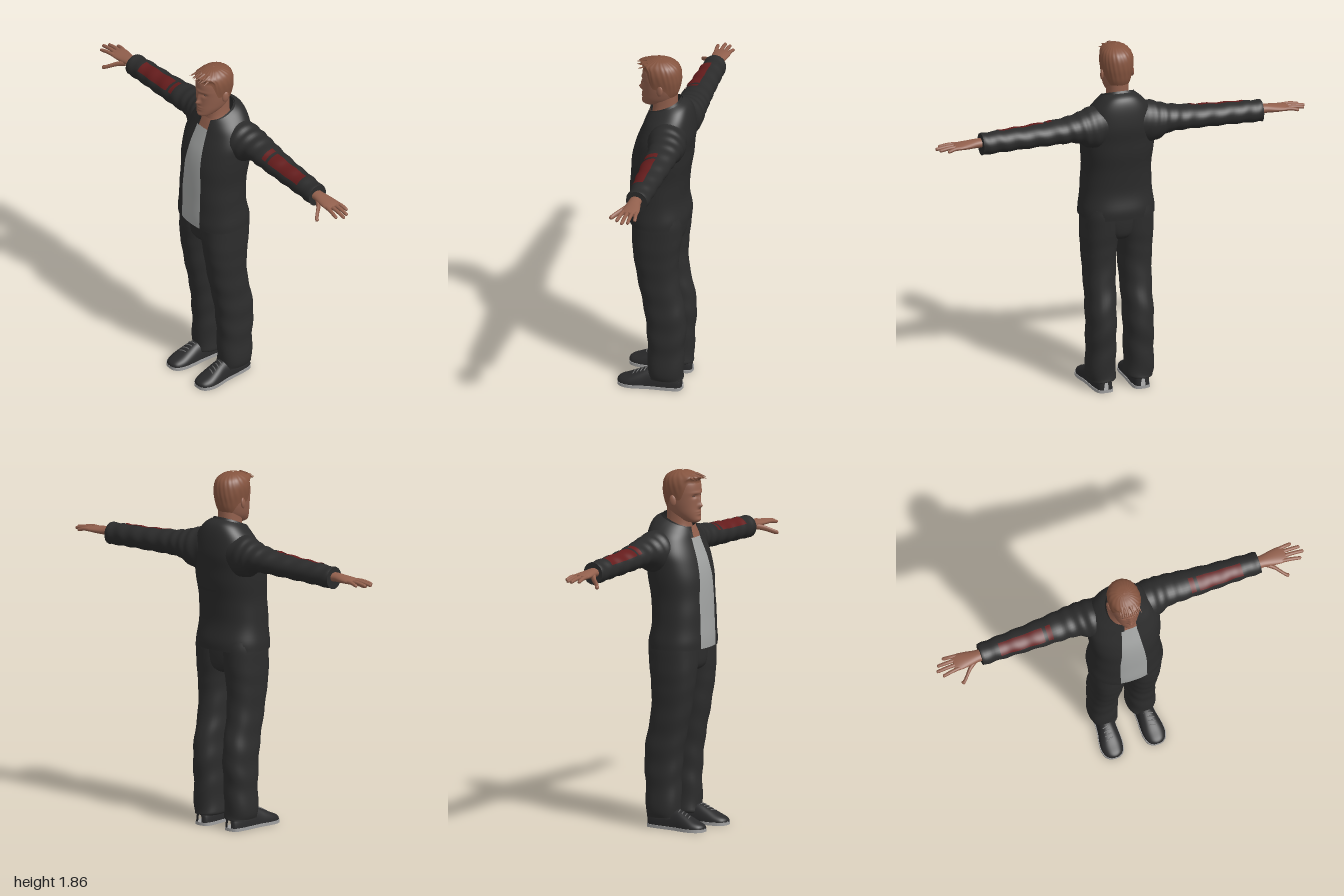
import * as THREE from 'three';

const TAU = Math.PI * 2;
const { lerp, smoothstep } = THREE.MathUtils;
const mat = (name, color, side = THREE.FrontSide) => {
  const m = new THREE.MeshStandardMaterial({ color, side });
  m.name = name;
  return m;
};

// Catmull-Rom through rows of numbers, t from 0 to 1
function sample(rows, t) {
  const f = Math.min(Math.max(t, 0), 1) * (rows.length - 1);
  const i = Math.min(Math.floor(f), rows.length - 2), k = f - i;
  const a = rows[Math.max(i - 1, 0)], b = rows[i], c = rows[i + 1], d = rows[Math.min(i + 2, rows.length - 1)];
  return b.map((p, j) => {
    const v0 = (c[j] - a[j]) / 2, v1 = (d[j] - p) / 2, q = c[j];
    return (2 * p - 2 * q + v0 + v1) * k ** 3 + (-3 * p + 3 * q - 2 * v0 - v1) * k * k + v0 * k + p;
  });
}
// t at which the first column reaches a value
function tAt(rows, y) {
  let i = 0;
  while (i < rows.length - 2 && rows[i + 1][0] < y) i++;
  return (i + (y - rows[i][0]) / (rows[i + 1][0] - rows[i][0])) / (rows.length - 1);
}
// Grid surface from fn(u, v) -> [x, y, z]; closed wraps u, caps close both ends
function surface(fn, nu, nv, closed = true, caps = false) {
  const pos = [], idx = [], cols = closed ? nu : nu + 1;
  for (let j = 0; j <= nv; j++) for (let i = 0; i < cols; i++) pos.push(...fn(i / nu, j / nv));
  for (let j = 0; j < nv; j++) for (let i = 0; i < nu; i++) {
    const a = j * cols + i, b = j * cols + (i + 1) % cols;
    idx.push(a, b, b + cols, a, b + cols, a + cols);
  }
  if (caps) for (const v of [0, 1]) {
    const start = pos.length / 3, mid = [0, 0, 0];
    for (let i = 0; i < nu; i++) {
      const p = fn(i / nu, v);
      pos.push(...p);
      p.forEach((q, k) => { mid[k] += q / nu; });
    }
    pos.push(...mid);
    for (let i = 0; i < nu; i++) {
      const a = start + i, b = start + (i + 1) % nu;
      idx.push(start + nu, v ? a : b, v ? b : a);
    }
  }
  const g = new THREE.BufferGeometry();
  g.setAttribute('position', new THREE.Float32BufferAttribute(pos, 3));
  g.setIndex(idx);
  g.computeVertexNormals();
  return g;
}
const pw = (s, n) => Math.sign(s) * Math.abs(s) ** (2 / n);
// Upright body section; rows: y, half width, z front, z back, tilt, x centre
function body(rows, th, t, o = 0, n = 2.3) {
  const [y, w, zf, zb, tilt = 0, cx = 0] = sample(rows, t);
  const z = (zf + zb) / 2 + ((zf - zb) / 2 + o) * pw(Math.cos(th), n);
  return [cx + Math.max(w + o, 0.0005) * pw(Math.sin(th), n), y - tilt * z, z];
}
// Sideways limb section; rows: x, y, y radius, z, z radius
function limb(rows, a, t, o = 0) {
  const [x, y, ry, z, rz] = sample(rows, t);
  return [x, y - (ry + o) * Math.sin(a), z + (rz + o) * Math.cos(a)];
}
function mirror(geo) {
  const g = geo.clone().scale(-1, 1, 1), ix = g.index.array;
  for (let i = 0; i < ix.length; i += 3) [ix[i], ix[i + 1]] = [ix[i + 1], ix[i]];
  return g;
}

const TORSO = [
  [0.945, 0.2, 0.148, -0.163, 0], [1.0, 0.197, 0.15, -0.163, 0], [1.1, 0.185, 0.146, -0.148, 0],
  [1.2, 0.182, 0.143, -0.158, 0], [1.3, 0.188, 0.135, -0.172, 0], [1.38, 0.194, 0.12, -0.18, 0],
  [1.45, 0.19, 0.097, -0.187, 0.05], [1.52, 0.162, 0.073, -0.18, 0.15], [1.565, 0.12, 0.06, -0.158, 0.28],
  [1.59, 0.09, 0.052, -0.12, 0.35]];
const COLLAR = [[1.54, 0.104, 0.068, -0.135, 0.3], [1.57, 0.09, 0.057, -0.12, 0.38], [1.595, 0.08, 0.05, -0.105, 0.42]];
const ARM = [
  [0.08, 1.46, 0.115, -0.075, 0.095], [0.17, 1.45, 0.107, -0.083, 0.1], [0.25, 1.459, 0.074, -0.095, 0.085],
  [0.35, 1.452, 0.063, -0.094, 0.078], [0.5, 1.443, 0.058, -0.091, 0.069], [0.65, 1.438, 0.057, -0.09, 0.062],
  [0.76, 1.433, 0.057, -0.088, 0.058]];
const PALM = [
  [0.73, 1.438, 0.026, -0.084, 0.033], [0.78, 1.44, 0.023, -0.084, 0.033], [0.83, 1.438, 0.02, -0.086, 0.041],
  [0.875, 1.437, 0.016, -0.087, 0.046], [0.905, 1.436, 0.011, -0.087, 0.042]];
const LEG = [
  [0.055, 0.03, 0.168, 0.025, -0.15], [0.08, 0.028, 0.178, 0.03, -0.155], [0.2, 0.027, 0.178, 0.03, -0.157],
  [0.3, 0.026, 0.177, 0.035, -0.165], [0.4, 0.024, 0.177, 0.045, -0.167], [0.5, 0.021, 0.176, 0.062, -0.15],
  [0.6, 0.016, 0.178, 0.083, -0.13], [0.7, 0.012, 0.182, 0.1, -0.125], [0.78, 0.006, 0.187, 0.112, -0.13],
  [0.86, -0.01, 0.19, 0.118, -0.14], [0.95, -0.02, 0.19, 0.12, -0.148], [1.0, -0.02, 0.185, 0.12, -0.145],
].map(([y, a, b, f, k]) => [y, (b - a) / 2, f, k, 0, (a + b) / 2]);
const HEAD = [
  [1.596, 0.022, 0.08, 0.02], [1.608, 0.04, 0.09, -0.02], [1.64, 0.06, 0.09, -0.075], [1.68, 0.071, 0.088, -0.1],
  [1.72, 0.077, 0.088, -0.108], [1.76, 0.08, 0.09, -0.112], [1.8, 0.078, 0.085, -0.108], [1.83, 0.066, 0.068, -0.092],
  [1.85, 0.042, 0.036, -0.058], [1.857, 0.02, 0.01, -0.03], [1.859, 0.001, -0.008, -0.01]];
const SHOE = [ // z, x centre, half width, height
  [-0.152, 0.1, 0.012, 0.06], [-0.14, 0.1, 0.036, 0.085], [-0.09, 0.102, 0.046, 0.1], [-0.03, 0.105, 0.048, 0.108],
  [0.03, 0.108, 0.05, 0.102], [0.08, 0.112, 0.056, 0.082], [0.13, 0.115, 0.057, 0.058], [0.17, 0.115, 0.044, 0.042],
  [0.187, 0.115, 0.022, 0.03], [0.19, 0.115, 0.003, 0.02]];
// Facial relief: x, y, x spread, y spread, height
const FACE = [
  [0, 1.684, 0.012, 0.012, 0.018], [0, 1.708, 0.009, 0.024, 0.011], [0, 1.753, 0.04, 0.008, 0.005],
  [0.03, 1.735, 0.015, 0.01, -0.009], [-0.03, 1.735, 0.015, 0.01, -0.009], [0, 1.654, 0.02, 0.005, 0.005],
  [0, 1.641, 0.017, 0.005, 0.005], [0, 1.612, 0.02, 0.01, 0.004]];

export function createModel() {
  const model = new THREE.Group();
  const skin = mat('skin', 0x92604d), hair = mat('hair', 0x85543f), eye = mat('eye', 0x4c3730);
  const jacket = mat('jacket cloth', 0x2b2b2b, THREE.DoubleSide), trousers = mat('trouser cloth', 0x2d2d2d);
  const shirtMat = mat('shirt cloth', 0xa2a4a3, THREE.DoubleSide), red = mat('red patch', 0x641c1c, THREE.DoubleSide);
  const shoeMat = mat('shoe', 0x2a2a2b), soleMat = mat('sole', 0xa0a0a0), laceMat = mat('lace', 0x6a6a6a);
  const add = (name, geo, m) => {
    const mesh = new THREE.Mesh(geo, m);
    mesh.name = name;
    model.add(mesh);
    return mesh;
  };
  const pair = (name, geo, m) => {
    add(name + 'Left', geo, m);
    add(name + 'Right', mirror(geo), m);
  };

  // Open jacket, with shirt and chest set just inside the opening
  const opening = t => {
    const [y, w] = sample(TORSO, t);
    const half = y < 1.2 ? 0.072 : lerp(0.072, 0.042, Math.min((y - 1.2) / 0.32, 1));
    return Math.asin((half / w) ** 1.15);
  };
  add('jacketBody', surface((u, t) => {
    const a = opening(t);
    return body(TORSO, lerp(a, TAU - a, u), t, 0.002 * Math.sin(t * 31) * smoothstep(t, 0, 0.2) * (1 - t));
  }, 64, 48, false), jacket);
  add('jacketCollar', surface((u, t) => body(COLLAR, lerp(0.5, TAU - 0.2, u), t, 0.004), 48, 8, false), jacket);
  const neckT = tAt(TORSO, 1.525);
  const inset = (t0, t1) => surface((u, v) => {
    const t = lerp(t0, t1, v), a = opening(t) + 0.14;
    return body(TORSO, lerp(-a, a, u), t, -0.007);
  }, 16, 24, false);
  add('shirt', inset(0, neckT), shirtMat);
  add('chest', inset(neckT, 1), skin);
  const NECK = [[1.52, 0.085, 0.045, -0.12], [1.56, 0.066, 0.036, -0.1], [1.6, 0.057, 0.032, -0.095], [1.67, 0.056, 0.035, -0.095]];
  add('neck', surface((u, t) => body(NECK, u * TAU, t), 32, 10), skin);

  // Sleeves with red patches
  const sleeve = (a, t, o) => limb(ARM, a, t, o + 0.0022 * Math.sin(t * 55 + 2 * Math.sin(a)));
  pair('sleeve', surface((u, t) => sleeve(u * TAU, t, 0), 36, 60, true, true), jacket);
  [[0.38, 0.408], [0.425, 0.66]].forEach(([x0, x1], i) => {
    const t0 = tAt(ARM, x0), t1 = tAt(ARM, x1);
    pair('sleevePatch' + i, surface((u, v) => sleeve(lerp(-1.62, -0.5, u), lerp(t0, t1, v), 0.003), 12, 24, false), red);
  });

  // Hands: palm, four fingers and a thumb
  pair('palm', surface((u, t) => limb(PALM, u * TAU, t), 24, 16, true, true), skin);
  const digit = (name, pts, r) => {
    const rows = pts.map(([x, y, z], i) => [x, y, r * (1 - 0.1 * i), z, r * (1 - 0.1 * i)]);
    const [x, y, z] = pts.at(-1);
    rows.push([x + r * 0.6, y, r * 0.45, z, r * 0.45], [x + r * 0.8, y, 0.0004, z, 0.0004]);
    pair(name, surface((u, t) => limb(rows, u * TAU, t), 12, 16), skin);
  };
  [['index', -0.054, 0.97, -0.042], ['middle', -0.077, 0.993, -0.074], ['ring', -0.1, 0.981, -0.102], ['little', -0.12, 0.945, -0.13]]
    .forEach(([name, z0, x1, z1]) => digit(name + 'Finger',
      [[0.88, 1.437, z0], [lerp(0.88, x1, 0.5), 1.437, lerp(z0, z1, 0.5)], [x1, 1.429, z1]], 0.011));
  digit('thumb', [[0.79, 1.432, -0.068], [0.83, 1.42, -0.04], [0.86, 1.404, -0.008], [0.882, 1.392, 0.012]], 0.016);

  // Trousers
  pair('trouserLeg', surface((u, t) => body(LEG, u * TAU, t,
    0.003 * Math.sin(t * 48 + 2 * Math.sin(u * TAU)) * (1 - t)), 36, 60, true, true), trousers);
  const HIPS = [[0.82, 0.05, 0.07, -0.1], [0.85, 0.1, 0.108, -0.132], [0.92, 0.15, 0.117, -0.144], [1.0, 0.18, 0.12, -0.145]];
  add('trouserHips', surface((u, t) => body(HIPS, u * TAU, t), 40, 12, true, true), trousers);

  // Shoes with flat soles and laces
  pair('shoe', surface((u, t) => {
    const [z, cx, w, h] = sample(SHOE, t), a = u * Math.PI;
    return [cx + w * pw(Math.cos(a), 2.4), 0.012 + (h - 0.012) * pw(Math.sin(a), 2.4), z];
  }, 24, 36, false), shoeMat);
  const edge = s => SHOE.map(([z, x, w]) => new THREE.Vector2(x + s * (w + 0.004), -z));
  const outline = new THREE.CatmullRomCurve3([...edge(1), ...edge(-1).reverse()]
    .map(p => new THREE.Vector3(p.x, p.y, 0)), true).getPoints(60).slice(0, -1);
  const soleShape = new THREE.Shape(outline.map(p => new THREE.Vector2(p.x, p.y)));
  const sole = new THREE.ExtrudeGeometry(soleShape, { depth: 0.016, bevelEnabled: false }).rotateX(-Math.PI / 2);
  sole.setIndex([...Array(sole.attributes.position.count).keys()]);
  pair('sole', sole, soleMat);
  for (let i = 0; i < 4; i++) {
    const z = 0.04 + i * 0.02, h = sample(SHOE, tAt(SHOE, z))[3];
    const lace = new THREE.CatmullRomCurve3([-1, 0, 1].map(k =>
      new THREE.Vector3(0.111 + k * 0.026, h + 0.001 - Math.abs(k) * 0.008, z + k * 0.006)));
    pair('lace' + i, new THREE.TubeGeometry(lace, 8, 0.003, 6), laceMat);
  }

  // Head with sculpted face
  add('head', surface((u, t) => {
    const p = body(HEAD, u * TAU, t, 0, 2.15);
    if (Math.cos(u * TAU) > 0) for (const [x, y, sx, sy, h] of FACE)
      p[2] += h * Math.exp(-(((p[0] - x) / sx) ** 2) - ((p[1] - y) / sy) ** 2);
    return p;
  }, 112, 90, true, true), skin);
  pair('ear', new THREE.SphereGeometry(1, 16, 12).scale(0.009, 0.029, 0.018)
    .rotateY(-0.3).rotateX(-0.15).translate(0.081, 1.712, -0.022), skin);
  pair('eye', new THREE.SphereGeometry(1, 14, 10).scale(0.011, 0.004, 0.004).translate(0.03, 1.735, 0.0735), eye);

  // Short hair with a swept-up front
  const smooth = (x, a, b) => smoothstep(x, a, b);
  add('hair', surface((u, v) => {
    const th = u * TAU, c = Math.cos(th);
    const line = c > 0 ? lerp(1.715, 1.802, smooth(c, 0.2, 0.7)) : lerp(1.715, 1.655, smooth(-c, 0.2, 0.9));
    const t = lerp(tAt(HEAD, line), 1, v), rise = smooth(v, 0, 0.3);
    const p = body(HEAD, th, t, 0.001 + rise * (0.005 + 0.0015 * Math.sin(th * 22 + v * 14)) * (1 - v * 0.5), 2.15);
    p[2] += 0.03 * Math.max(0, c) * rise * Math.exp(-(((p[1] - 1.828) / 0.016) ** 2));
    p[1] += 0.005 * rise;
    return p;
  }, 112, 36), hair);
  for (let i = 0; i < 11; i++) {
    const x = (i - 5) * 0.01, lift = 0.006 * Math.sin(i * 2.3);
    const lock = new THREE.ConeGeometry(0.011, 0.06, 8).scale(1, 1, 0.7).rotateX(Math.PI / 2 + 0.25)
      .rotateY(x * 5).translate(x, 1.838 + lift - Math.abs(x) * 0.18, 0.094 - Math.abs(x) * 0.35);
    add('hairLock' + i, lock, hair);
  }
  return model;
}
